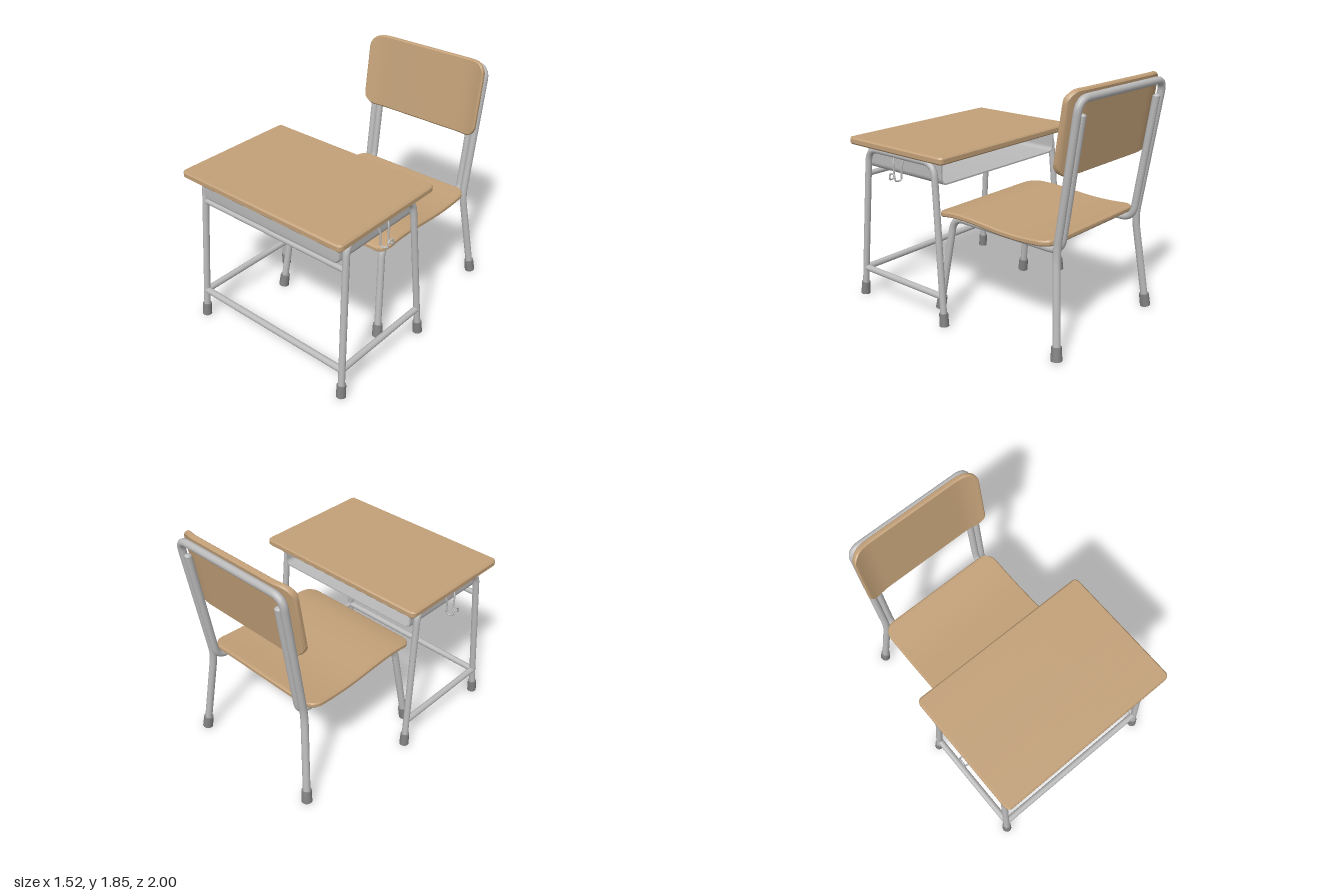
import * as THREE from 'three';
import { toCreasedNormals } from 'three/addons/utils/BufferGeometryUtils.js';

const V = (x, y, z) => new THREE.Vector3(x, y, z);

// Chamfered board with rounded corners: half length L along u, half width W along v,
// half thickness T along t; place(u, v, t) bends it into position
function board(L, W, T, r, b, place) {
  const us = [];
  for (let i = 8; i > 0; i--) us.push(-(L - r + r * Math.sin((i / 8) * Math.PI / 2)));
  for (let i = 0; i <= 32; i++) us.push((L - r) * (i / 16 - 1));
  for (let i = 1; i <= 8; i++) us.push(L - r + r * Math.sin((i / 8) * Math.PI / 2));
  const pos = [], idx = [];
  us.forEach((u) => {
    const inset = Math.max(0, L - Math.abs(u));
    const d = Math.max(0, r - inset);
    const w = W - r + Math.sqrt(Math.max(0, r * r - d * d));
    const s = T - b, h = s + b * Math.min(1, inset / b);
    [[w, -s], [w, s], [w - b, h], [b - w, h], [-w, s], [-w, -s], [b - w, -h], [w - b, -h]]
      .forEach(([v, t]) => pos.push(...place(u, v, t)));
  });
  const last = (us.length - 1) * 8;
  for (let i = 0; i < last; i += 8) {
    for (let j = 0; j < 8; j++) {
      const k = (j + 1) % 8;
      idx.push(i + j, i + k, i + 8 + k, i + j, i + 8 + k, i + 8 + j);
    }
  }
  for (let k = 1; k < 7; k++) idx.push(0, k + 1, k, last, last + k, last + k + 1);
  const g = new THREE.BufferGeometry();
  g.setAttribute('position', new THREE.Float32BufferAttribute(pos, 3));
  g.setIndex(idx);
  return toCreasedNormals(g, 0.5);
}

// Bent pipe: straight runs joined by rounded corners of the given size
function pipe(points, radius, bend = 0.1, segments = 90, sides = 16) {
  const path = new THREE.CurvePath();
  let from = points[0];
  for (let i = 1; i < points.length - 1; i++) {
    const p = points[i], q = points[i + 1], prev = points[i - 1];
    const a = p.clone().add(prev.clone().sub(p).setLength(Math.min(bend, p.distanceTo(prev) * 0.49)));
    const c = p.clone().add(q.clone().sub(p).setLength(Math.min(bend, p.distanceTo(q) * 0.49)));
    path.add(new THREE.LineCurve3(from, a));
    path.add(new THREE.QuadraticBezierCurve3(a, p, c));
    from = c;
  }
  path.add(new THREE.LineCurve3(from, points[points.length - 1]));
  return new THREE.TubeGeometry(path, points.length > 2 ? segments : 1, radius, sides);
}

// Outline of the tray seen from the front, rounded at the bottom
function trayOutline(path, w, bottom, top, r) {
  path.moveTo(-w, top);
  path.lineTo(-w, bottom + r);
  path.absarc(-w + r, bottom + r, r, Math.PI, 1.5 * Math.PI, false);
  path.lineTo(w - r, bottom);
  path.absarc(w - r, bottom + r, r, 1.5 * Math.PI, 2 * Math.PI, false);
  path.lineTo(w, top);
  return path;
}

export function createModel() {
  const model = new THREE.Group();
  const desk = new THREE.Group();
  const chair = new THREE.Group();
  desk.name = 'desk';
  chair.name = 'chair';
  model.add(desk, chair);

  const mat = (name, color) => {
    const m = new THREE.MeshStandardMaterial({ color });
    m.name = name;
    return m;
  };
  const wood = mat('wood', 0xc2a078);
  const metal = mat('grey metal', 0xbababa);
  const rubber = mat('dark grey rubber', 0x828282);

  const add = (parent, name, geometry, material) => {
    const mesh = new THREE.Mesh(geometry, material);
    mesh.name = name;
    parent.add(mesh);
    return mesh;
  };
  // Rubber cap around the lower end of a leg
  const foot = (parent, name, base, toward, radius) => {
    const dir = toward.clone().sub(base).normalize();
    const m = add(parent, name, new THREE.CylinderGeometry(radius * 0.93, radius, 0.1, 20), rubber);
    m.position.copy(base).addScaledVector(dir, 0.05);
    m.quaternion.setFromUnitVectors(V(0, 1, 0), dir);
  };

  // Desk top
  add(desk, 'deskTop', board(0.5, 0.745, 0.0275, 0.04, 0.012, (u, v, t) => [v, 1.2725 + t, 0.5 + u]), wood);

  // Tray under the desk top, open towards the chair
  const shell = trayOutline(new THREE.Shape(), 0.645, 1.06, 1.25, 0.05);
  shell.lineTo(0.633, 1.25);
  shell.lineTo(0.633, 1.11);
  shell.absarc(0.595, 1.11, 0.038, 0, -Math.PI / 2, true);
  shell.lineTo(-0.595, 1.072);
  shell.absarc(-0.595, 1.11, 0.038, -Math.PI / 2, -Math.PI, true);
  shell.lineTo(-0.633, 1.25);
  const shellGeo = new THREE.ExtrudeGeometry(shell, { depth: 0.78, bevelEnabled: false, curveSegments: 8 });
  add(desk, 'tray', toCreasedNormals(shellGeo.translate(0, 0, 0.1), 0.5), metal);
  const front = trayOutline(new THREE.Shape(), 0.645, 1.06, 1.265, 0.05);
  const frontGeo = new THREE.ExtrudeGeometry(front, {
    depth: 0.002, bevelThickness: 0.02, bevelSize: 0.02, bevelOffset: -0.02, bevelSegments: 4, curveSegments: 8,
  });
  add(desk, 'trayFront', toCreasedNormals(frontGeo.translate(0, 0, 0.88), 0.5), metal);

  // Rails between the front legs of the desk
  add(desk, 'upperRail', pipe([V(-0.675, 1.02, 0.867), V(0.675, 1.02, 0.867)], 0.021), metal);
  add(desk, 'lowerRail', pipe([V(-0.692, 0.23, 0.935), V(0.692, 0.23, 0.935)], 0.025), metal);

  for (const s of [-1, 1]) {
    const side = s > 0 ? 'left' : 'right';

    // Desk side frame, its foot rail and feet
    const f0 = V(s * 0.7, 0.005, 0.953), f1 = V(s * 0.67, 1.22, 0.85);
    const b1 = V(s * 0.67, 1.22, 0.147), b0 = V(s * 0.7, 0.005, 0.054);
    add(desk, side + 'DeskFrame', pipe([f0, f1, b1, b0], 0.025), metal);
    add(desk, side + 'FootRail', pipe([V(s * 0.693, 0.23, 0.935), V(s * 0.693, 0.23, 0.07)], 0.025), metal);
    foot(desk, side + 'FrontDeskFoot', f0, f1, 0.036);
    foot(desk, side + 'BackDeskFoot', b0, b1, 0.036);

    // Wire bag hook
    const half = [[0.685, 1.2, 0.055], [0.7, 1.16, 0.045], [0.7, 1.048, 0.04], [0.753, 1.048, 0.032], [0.753, 1.1, 0.024]];
    const wire = [...half.map(([x, y, z]) => V(s * x, y, 0.5 + z)),
      ...half.reverse().map(([x, y, z]) => V(s * x, y, 0.5 - z))];
    add(desk, side + 'BagHook', pipe(wire, 0.0065, 0.02, 90, 8), metal);

    // Chair front leg, running back as the seat rail and up behind the backrest
    const c0 = V(s * 0.497, 0.006, 0.295), c1 = V(s * 0.44, 0.755, 0.185);
    const end = V(s * 0.445, 1.68, -0.956);
    add(chair, side + 'SeatRail', pipe([c0, c1, V(s * 0.44, 0.738, -0.812), end], 0.027, 0.1, 120), metal);
    const cap = add(chair, side + 'RailEnd', new THREE.SphereGeometry(0.027, 16, 10), metal);
    cap.position.copy(end);
    cap.scale.y = 0.6;
    foot(chair, side + 'FrontChairFoot', c0, c1, 0.04);
    foot(chair, side + 'RearChairFoot', V(s * 0.57, 0.006, -0.886), V(s * 0.488, 0.74, -0.808), 0.04);
  }

  // Rear legs and back hoop in one bent pipe
  const hoop = [[0.57, 0.006, -0.886], [0.488, 0.74, -0.808], [0.503, 1.795, -0.972]];
  add(chair, 'backHoop', pipe([...hoop.map(([x, y, z]) => V(-x, y, z)),
    ...hoop.reverse().map(([x, y, z]) => V(x, y, z))], 0.028, 0.09, 180), metal);

  // Cross bars under the seat
  for (const [name, z] of [['frontCrossBar', -0.03], ['rearCrossBar', -0.68]]) {
    add(chair, name, pipe([V(-0.44, 0.742, z), V(0.44, 0.742, z)], 0.02), metal);
  }

  // Seat with a dished middle and drooping front edge
  add(chair, 'seat', board(0.5325, 0.537, 0.021, 0.1, 0.01, (u, v, t) => {
    const z = u - 0.2475;
    const droop = 0.6 * Math.max(0, z - 0.1) ** 2;
    return [v, 0.796 + 0.013 * Math.cos((z - 0.04) * 2 * Math.PI) - droop + t, z];
  }), wood);

  // Leaning backrest with its sides curved forward
  add(chair, 'backrest', board(0.54, 0.29, 0.021, 0.1, 0.01, (u, v, t) => {
    const wrap = Math.max(0, Math.abs(u) - 0.36) / 0.18;
    return [u, 1.56 + v - 0.154 * t * -1, -0.891 - 0.154 * v + t + 0.04 * wrap * wrap];
  }), wood);

  return model;
}
